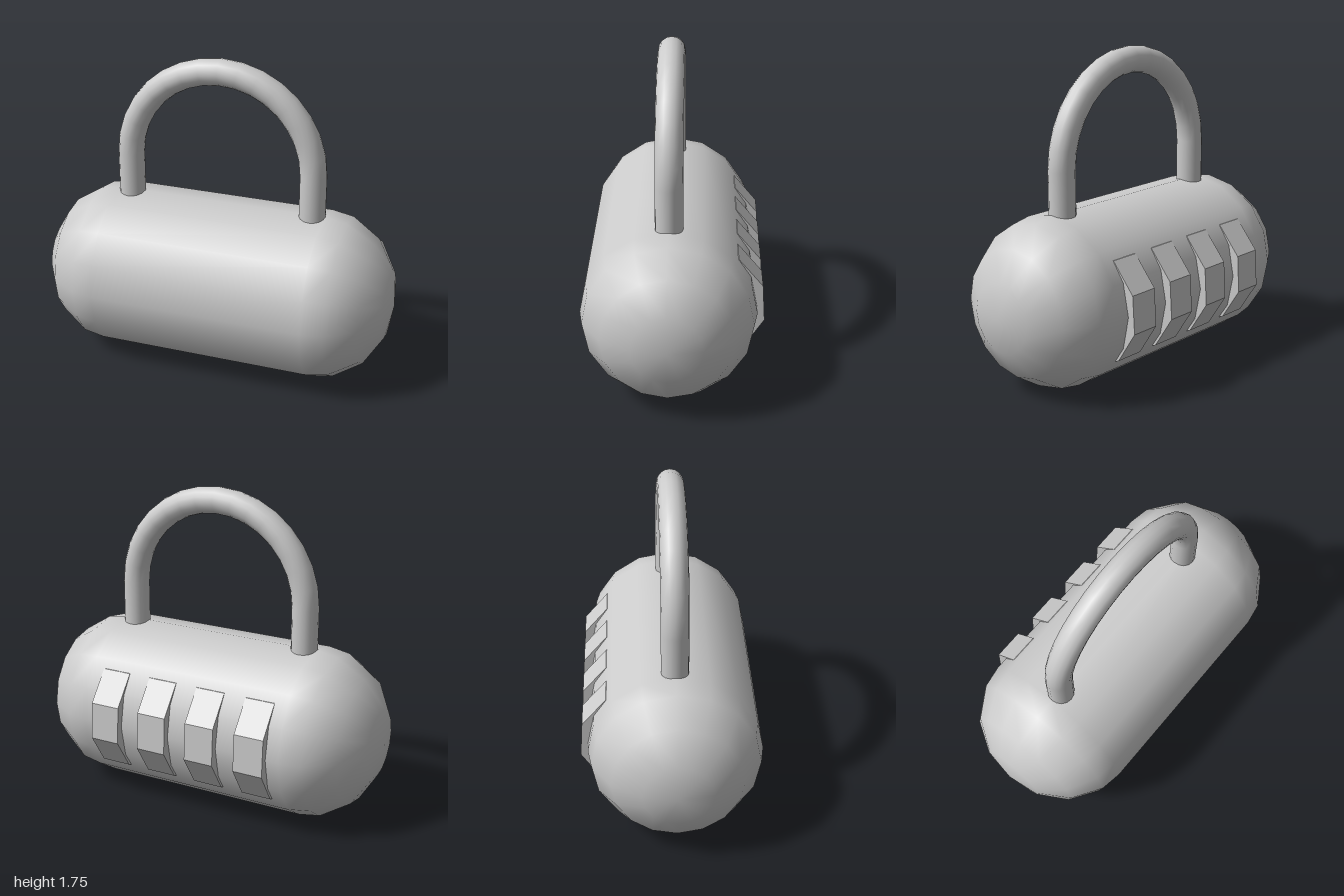
import * as THREE from 'three';

const Z = 0.02;        // depth of the body and shackle axis
const MID = 0.467;     // height of the body axis
const RADIUS = 0.466;  // body radius

// Capsule-like body: a 16-sided profile revolved about the x axis
function bodyGeometry() {
  const end = [[0.594, RADIUS], [0.714, 0.446], [0.87, 0.346], [0.968, 0.186], [1, 0]];
  const profile = [
    ...end.slice().reverse().map(([x, r]) => new THREE.Vector2(r, -x)),
    ...end.map(([x, r]) => new THREE.Vector2(r, x)),
  ];
  const geometry = new THREE.LatheGeometry(profile, 16);
  geometry.rotateZ(-Math.PI / 2);

  // Rounded ends share smooth normals with the straight middle
  const p = geometry.attributes.position;
  const n = new THREE.Vector3();
  for (let i = 0; i < p.count; i++) {
    const beyond = p.getX(i) - THREE.MathUtils.clamp(p.getX(i), -0.594, 0.594);
    n.set(beyond / 0.406 ** 2, p.getY(i) / RADIUS ** 2, p.getZ(i) / RADIUS ** 2).normalize();
    geometry.attributes.normal.setXYZ(i, n.x, n.y, n.z);
  }
  return geometry;
}

// U-shaped path: straight legs joined by a half circle
class ShacklePath extends THREE.Curve {
  getPoint(t, target = new THREE.Vector3()) {
    const r = 0.522, spring = 1.16, foot = 0.78, steps = 18;
    const k = t * steps; // first and last step are the legs
    if (k <= 1) return target.set(-r, foot + (spring - foot) * k, 0);
    if (k >= steps - 1) return target.set(r, foot + (spring - foot) * (steps - k), 0);
    const a = Math.PI * (1 - (k - 1) / (steps - 2));
    return target.set(r * Math.cos(a), spring + r * Math.sin(a), 0);
  }
  // Equal parameter steps keep the bend starting exactly at the legs
  getPointAt(t, target) { return this.getPoint(t, target); }
  getTangentAt(t, target = new THREE.Vector3()) {
    const a = Math.PI * (1 - THREE.MathUtils.clamp((t * 18 - 1) / 16, 0, 1));
    return target.set(Math.sin(a), -Math.cos(a), 0);
  }
}

export function createModel() {
  const model = new THREE.Group();
  model.name = 'combinationPadlock';
  const smooth = new THREE.MeshStandardMaterial({ color: 0xcccccc });
  const faceted = new THREE.MeshStandardMaterial({ color: 0xcccccc, flatShading: true });

  const body = new THREE.Mesh(bodyGeometry(), smooth);
  body.name = 'body';
  body.position.set(0, MID, Z);
  model.add(body);

  const shackle = new THREE.Mesh(new THREE.TubeGeometry(new ShacklePath(), 18, 0.073, 16), smooth);
  shackle.name = 'shackle';
  shackle.position.z = Z - 0.002;
  model.add(shackle);

  // Four ten-sided number wheels sunk into the back
  const wheel = new THREE.CylinderGeometry(
    0.332, 0.332, 0.168, 10, 1, false, THREE.MathUtils.degToRad(14.5));
  wheel.rotateZ(Math.PI / 2);
  const dials = new THREE.Group();
  dials.name = 'dials';
  for (let i = 0; i < 4; i++) {
    const dial = new THREE.Mesh(wheel, faceted);
    dial.name = `dial${i + 1}`;
    dial.position.set((i - 1.5) * 0.292, 0.468, -0.166);
    dials.add(dial);
  }
  model.add(dials);

  return model;
}
